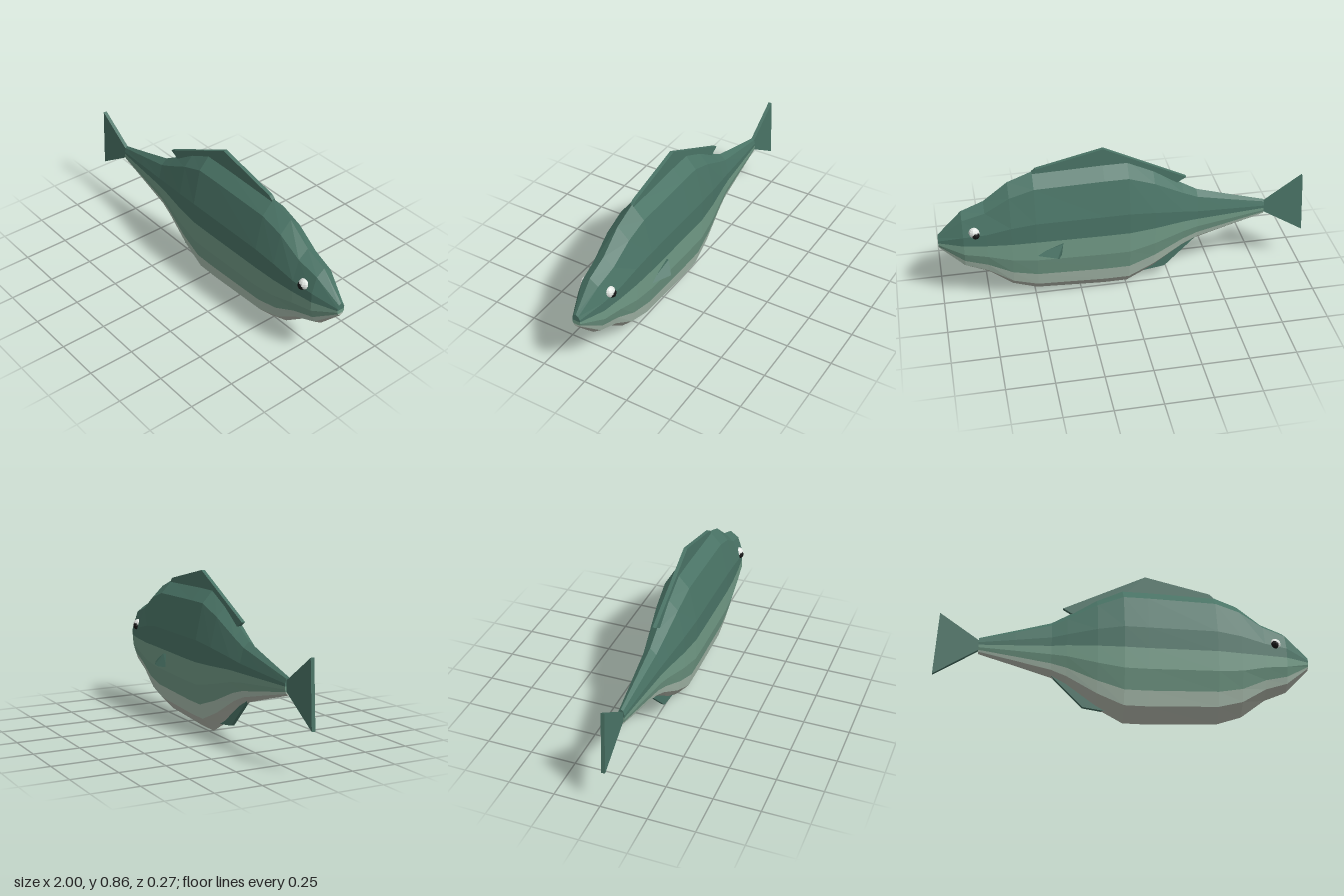
import * as THREE from 'three';
import { ConvexGeometry } from 'three/addons/geometries/ConvexGeometry.js';

const MID_Z = 0.025; // body centre plane

function material(name, color) {
  const m = new THREE.MeshStandardMaterial({ color });
  m.name = name;
  m.flatShading = true;
  return m;
}

export function createModel() {
  const group = new THREE.Group();
  const green = material('dark green back', 0x4a7466);
  const sage = material('sage flank', 0x709985);
  const pale = material('pale lower flank', 0xa9bdae);
  const belly = material('grey belly', 0xb2b7ab);
  const white = material('eye white', 0xe4e8e4);
  const black = material('pupil black', 0x141414);

  const add = (name, geometry, mat) => {
    const mesh = new THREE.Mesh(geometry, mat);
    mesh.name = name;
    group.add(mesh);
    return mesh;
  };

  // Body stations: x, top, bottom, half width
  const stations = [
    [-0.77, 0.445, 0.352, 0.018], [-0.58, 0.5, 0.297, 0.036], [-0.39, 0.557, 0.24, 0.054],
    [-0.31, 0.605, 0.197, 0.068], [-0.15, 0.712, 0.08, 0.095], [-0.01, 0.78, 0.004, 0.11],
    [0.12, 0.78, 0.004, 0.11], [0.49, 0.77, 0.025, 0.11], [0.62, 0.72, 0.07, 0.103],
    [0.75, 0.62, 0.172, 0.091], [0.87, 0.572, 0.225, 0.075], [1.0, 0.437, 0.363, 0.022],
  ];
  // Half cross-section from top to bottom: width and height fractions
  const section = [[0, 1], [0.618, 0.809], [1, 0.309], [1, 0], [1, -0.309], [0.778, -0.6], [0.618, -0.809], [0, -1]];
  const bands = [
    ['back', green, 0, 3], ['flank', sage, 3, 5], ['lowerFlank', pale, 5, 6], ['belly', belly, 6, 7],
  ];
  const point = (j, i, side) => {
    const [x, top, bottom, w] = stations[j];
    const [s, c] = section[i];
    return [x, (top + bottom) / 2 + c * (top - bottom) / 2, MID_Z + side * s * w];
  };
  const last = stations.length - 1;

  for (const [name, mat, from, to] of bands) {
    const pos = [];
    const quad = (a, b, c, d) => pos.push(...a, ...b, ...c, ...a, ...c, ...d);
    for (let i = from; i < to; i++) {
      for (let j = 0; j < last; j++) {
        quad(point(j, i, 1), point(j, i + 1, 1), point(j + 1, i + 1, 1), point(j + 1, i, 1));
        quad(point(j + 1, i, -1), point(j + 1, i + 1, -1), point(j, i + 1, -1), point(j, i, -1));
      }
      // Snout and tail-root end caps
      quad(point(last, i, 1), point(last, i + 1, 1), point(last, i + 1, -1), point(last, i, -1));
      quad(point(0, i, -1), point(0, i + 1, -1), point(0, i + 1, 1), point(0, i, 1));
    }
    const geometry = new THREE.BufferGeometry();
    geometry.setAttribute('position', new THREE.Float32BufferAttribute(pos, 3));
    geometry.computeVertexNormals();
    add(name, geometry, mat);
  }

  // Flat fins on the centre plane
  const fin = (name, outline, depth = 0.02) => {
    const shape = new THREE.Shape(outline.map(([x, y]) => new THREE.Vector2(x, y)));
    const geometry = new THREE.ExtrudeGeometry(shape, { depth, bevelEnabled: false });
    add(name, geometry.translate(0, 0, MID_Z - depth / 2), green);
  };
  fin('dorsalFin', [[-0.33, 0.645], [-0.27, 0.61], [-0.01, 0.74], [0.49, 0.74], [0.49, 0.768], [0.47, 0.785], [0.115, 0.866]]);
  fin('tailFin', [[-1, 0.225], [-0.765, 0.375], [-0.765, 0.425], [-0.98, 0.575]]);
  fin('analFin', [[-0.39, 0.25], [-0.22, 0.08], [-0.08, 0.06], [-0.1, 0.16]]);

  // Pectoral fin: a wedge flaring backwards from the right flank
  const wedge = [
    [0.51, 0.31, -0.075], [0.35, 0.375, -0.08], [0.355, 0.38, -0.1],
    [0.39, 0.315, -0.135], [0.38, 0.302, -0.12], [0.36, 0.3, -0.08],
  ].map((p) => new THREE.Vector3(...p));
  add('pectoralFin', new ConvexGeometry(wedge), green);

  // Eyes with bulging pupils
  for (const side of [1, -1]) {
    const label = side > 0 ? 'left' : 'right';
    const ball = add(label + 'Eye', new THREE.SphereGeometry(0.031, 10, 8), white);
    ball.position.set(0.81, 0.475, MID_Z + side * 0.067);
    const pupil = add(label + 'Pupil', new THREE.SphereGeometry(0.023, 8, 6), black);
    pupil.position.set(0.805, 0.467, MID_Z + side * 0.08);
  }
  return group;
}
